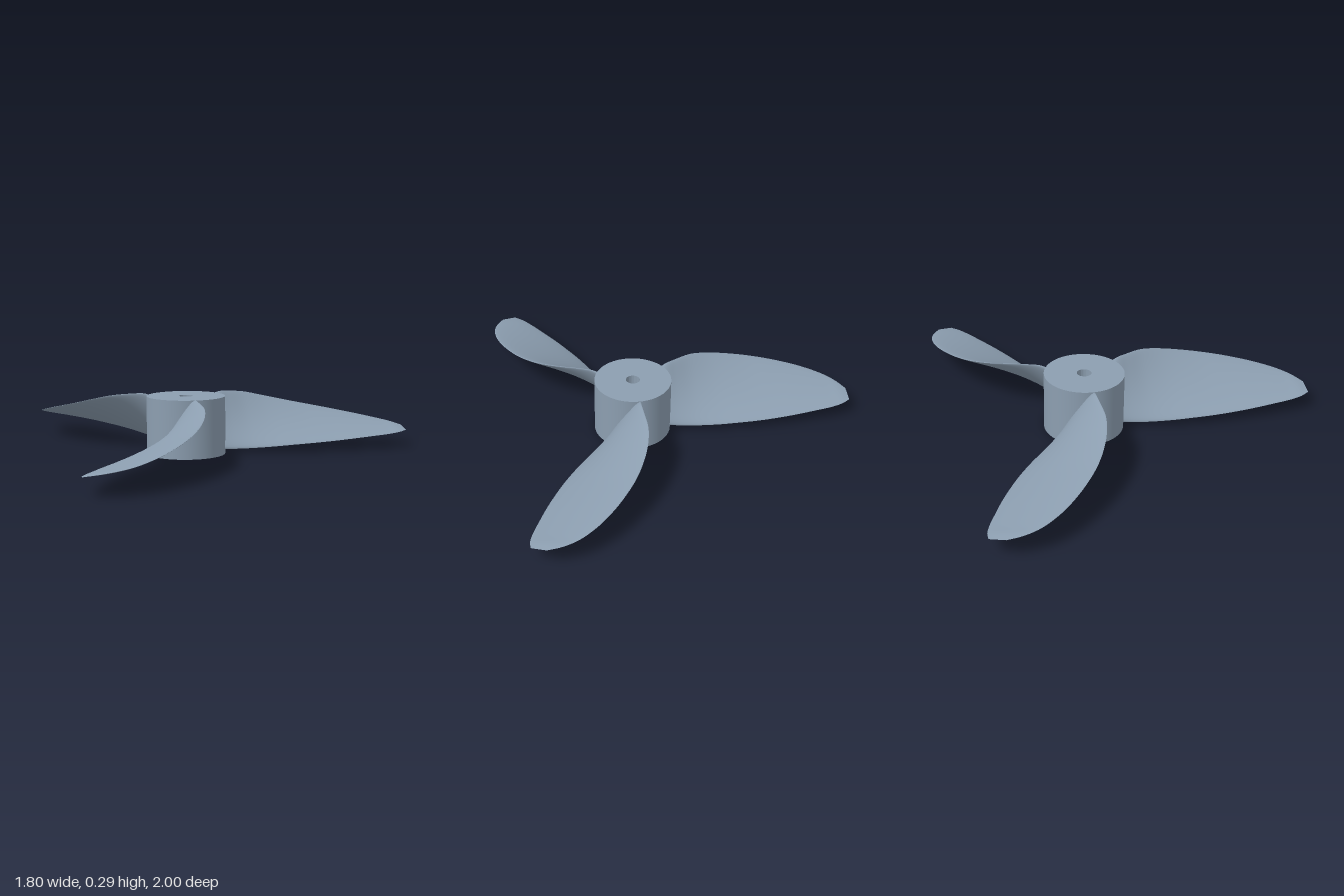
import * as THREE from 'three';
import { toCreasedNormals } from 'three/addons/utils/BufferGeometryUtils.js';

const HUB = { x: -0.23, z: -0.015, radius: 0.193, bore: 0.035, height: 0.285 };

// Blade stations from root to tip, hub axis at the origin:
// [radius, back edge z, front edge z, back edge y, front edge y, thickness]
const STATIONS = [
  [0.13, -0.095, 0.03, 0.27, 0.025, 0.04],
  [0.18, -0.12, 0.045, 0.288, 0.022, 0.04],
  [0.24, -0.16, 0.06, 0.285, 0.023, 0.036],
  [0.33, -0.22, 0.075, 0.272, 0.027, 0.032],
  [0.43, -0.258, 0.087, 0.248, 0.033, 0.028],
  [0.53, -0.277, 0.093, 0.224, 0.04, 0.025],
  [0.63, -0.283, 0.095, 0.202, 0.046, 0.022],
  [0.73, -0.276, 0.091, 0.182, 0.052, 0.02],
  [0.83, -0.259, 0.083, 0.162, 0.059, 0.018],
  [0.93, -0.23, 0.07, 0.142, 0.066, 0.016],
  [1.03, -0.18, 0.055, 0.122, 0.073, 0.013],
  [1.09, -0.125, 0.038, 0.11, 0.079, 0.01],
  [1.13, -0.065, 0.015, 0.1, 0.085, 0],
];

// One face of the blade: a twisted sheet between both edges, bulged along its normal
function bladeFace(bulge, flip) {
  const curve = (pick) => new THREE.CatmullRomCurve3(STATIONS.map((s) => new THREE.Vector3(...pick(s))));
  const back = curve((s) => [s[0], s[3], s[1]]);
  const front = curve((s) => [s[0], s[4], s[2]]);
  const thickness = curve((s) => [s[0], s[5], 0]);
  const rows = 72, cols = 20, positions = [], index = [];
  for (let i = 0; i <= rows; i++) {
    const u = i / rows;
    const b = back.getPoint(u), f = front.getPoint(u);
    const normal = new THREE.Vector3(0, f.z - b.z, b.y - f.y).normalize();
    const t = Math.max(0, thickness.getPoint(u).y) * bulge;
    for (let j = 0; j <= cols; j++) {
      const s = (1 - Math.cos((Math.PI * j) / cols)) / 2;
      const p = b.clone().lerp(f, s).addScaledVector(normal, t * Math.sin((Math.PI * j) / cols));
      positions.push(p.x, p.y, p.z);
      if (i < rows && j < cols) {
        const a = i * (cols + 1) + j, c = a + cols + 1;
        if (flip) index.push(a, c, a + 1, a + 1, c, c + 1);
        else index.push(a, a + 1, c, a + 1, c + 1, c);
      }
    }
  }
  const geometry = new THREE.BufferGeometry();
  geometry.setAttribute('position', new THREE.Float32BufferAttribute(positions, 3));
  geometry.setIndex(index);
  geometry.computeVertexNormals();
  return geometry;
}

export function createModel() {
  const model = new THREE.Group();
  model.name = 'propeller';
  const material = new THREE.MeshStandardMaterial({ color: 0x8c9eb0 });
  const bladeMaterial = new THREE.MeshStandardMaterial({ color: 0x8c9eb0, side: THREE.DoubleSide });

  const rotor = new THREE.Group();
  rotor.name = 'rotor';
  rotor.position.set(HUB.x, 0, HUB.z);
  model.add(rotor);

  // Hub with a through bore
  const profile = [
    [HUB.bore, HUB.height], [HUB.bore, 0], [HUB.radius, 0], [HUB.radius, HUB.height], [HUB.bore, HUB.height],
  ].map((p) => new THREE.Vector2(...p));
  const hub = new THREE.Mesh(toCreasedNormals(new THREE.LatheGeometry(profile, 64), 0.6), material);
  hub.name = 'hub';
  rotor.add(hub);

  // Three equal blades around the hub
  const upper = bladeFace(0.6, false);
  const lower = bladeFace(-0.4, true);
  for (let k = 0; k < 3; k++) {
    const blade = new THREE.Group();
    blade.name = `blade${k + 1}`;
    blade.rotation.y = (k * Math.PI * 2) / 3;
    const upperFace = new THREE.Mesh(upper, bladeMaterial);
    upperFace.name = 'bladeUpperFace';
    const lowerFace = new THREE.Mesh(lower, bladeMaterial);
    lowerFace.name = 'bladeLowerFace';
    blade.add(upperFace, lowerFace);
    rotor.add(blade);
  }
  return model;
}
